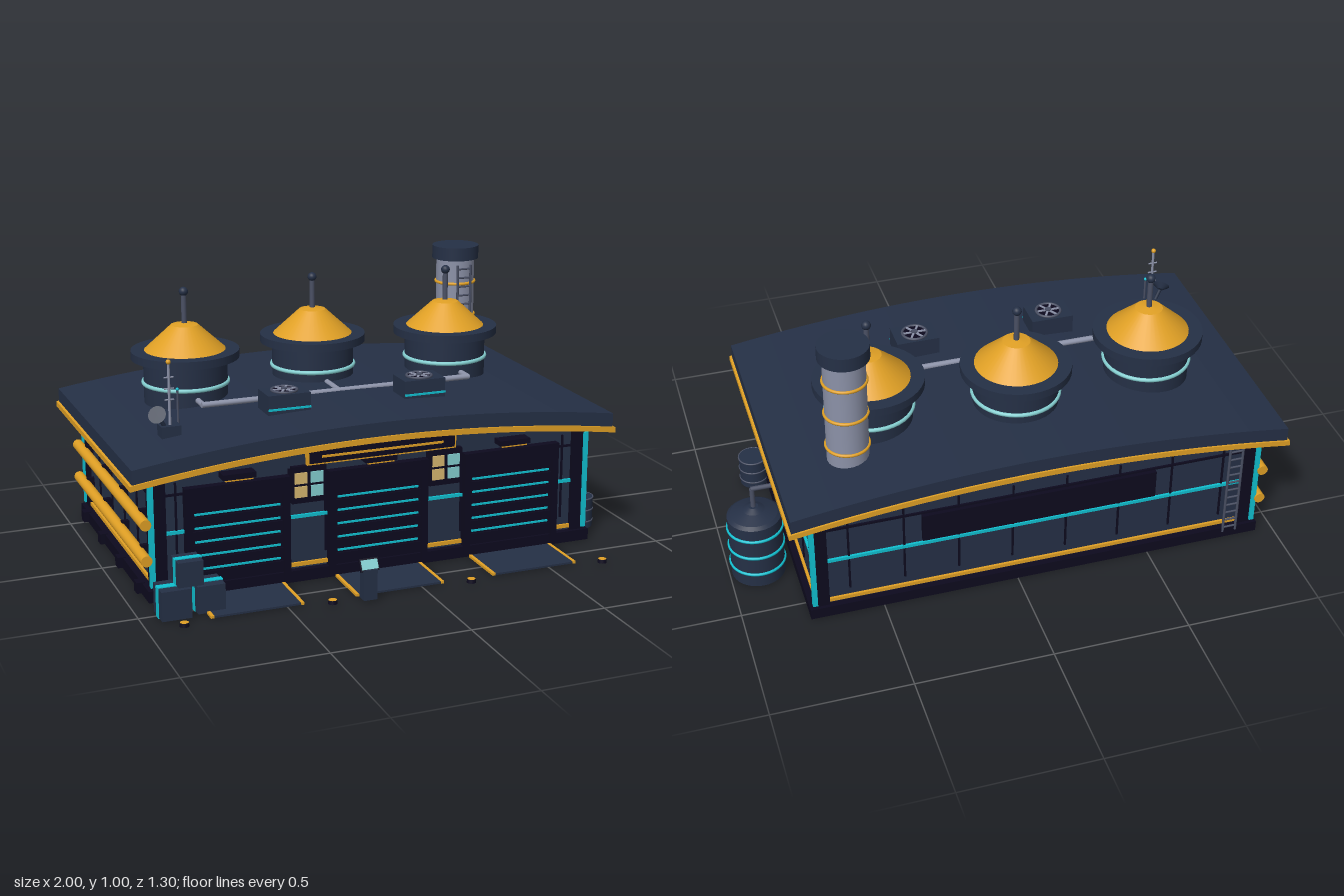
import * as THREE from 'three';

const mat = (name, color, side = THREE.FrontSide) => {
  const m = new THREE.MeshStandardMaterial({ color, side });
  m.name = name;
  return m;
};
const CX = -0.083, CZ = -0.1; // centre of the building

export function createModel() {
  const navy = mat('navy panel', 0x253046);
  const black = mat('dark metal', 0x0d0a1e);
  const orange = mat('orange trim', 0xe0a025);
  const cyan = mat('cyan light', 0x10c0d0);
  const pale = mat('pale cyan glass', 0x85d0d2);
  const tan = mat('warm glass', 0xd8b870);
  const grey = mat('grey steel', 0x8c92a8);
  const slate = mat('slate steel', 0x4a5064, THREE.DoubleSide);

  const root = new THREE.Group();
  root.name = 'workshop';
  const group = (name, x = 0, y = 0, z = 0, parent = root) => {
    const g = new THREE.Group();
    g.name = name;
    g.position.set(x, y, z);
    parent.add(g);
    return g;
  };
  const add = (parent, name, geo, m, x = 0, y = 0, z = 0) => {
    const mesh = new THREE.Mesh(geo, m);
    mesh.name = name;
    mesh.position.set(x, y, z);
    parent.add(mesh);
    return mesh;
  };
  const box = (p, name, m, w, h, d, x, y, z) => add(p, name, new THREE.BoxGeometry(w, h, d), m, x, y, z);
  const cyl = (p, name, m, r0, r1, y0, y1, x = 0, z = 0, n = 32) =>
    add(p, name, new THREE.CylinderGeometry(r1, r0, y1 - y0, n), m, x, (y0 + y1) / 2, z);
  const ring = (p, name, m, r, t, y, x = 0, z = 0) => {
    const o = add(p, name, new THREE.TorusGeometry(r, t, 8, 40), m, x, y, z);
    o.rotation.x = Math.PI / 2;
    return o;
  };
  const rod = (p, name, m, r, a, b, n = 12) => {
    const A = new THREE.Vector3(...a), B = new THREE.Vector3(...b), d = B.clone().sub(A);
    const o = add(p, name, new THREE.CylinderGeometry(r, r, d.length(), n), m);
    o.position.copy(A).add(B).multiplyScalar(0.5);
    o.quaternion.setFromUnitVectors(new THREE.Vector3(0, 1, 0), d.normalize());
    return o;
  };
  const ladder = (p, x, z, y0, y1, w, r) => {
    for (const s of [-1, 1]) rod(p, 'ladderRail', slate, r, [x + s * w / 2, y0, z], [x + s * w / 2, y1, z], 6);
    for (let y = y0 + 0.02; y < y1; y += 0.035) rod(p, 'ladderRung', slate, r * 0.8, [x - w / 2, y, z], [x + w / 2, y, z], 6);
  };

  // Slab whose top (and optionally bottom) follows the roof curve
  const arch = (x, edge) => edge + 0.07 * (1 - (x / 0.917) ** 2);
  const slab = (name, m, half, low, top, halfZ, flat) => {
    const s = new THREE.Shape(), N = 24;
    for (let i = 0; i <= N; i++) {
      const x = -half + 2 * half * i / N, y = flat ? low : arch(x, low);
      i ? s.lineTo(x, y) : s.moveTo(x, y);
    }
    for (let i = N; i >= 0; i--) {
      const x = -half + 2 * half * i / N;
      s.lineTo(x, arch(x, top));
    }
    const geo = new THREE.ExtrudeGeometry(s, { depth: halfZ * 2, bevelEnabled: false });
    add(root, name, geo.translate(0, 0, -halfZ), m, CX, 0, CZ);
  };
  slab('walls', navy, 0.82, 0.03, 0.44, 0.47, true);
  slab('roofTrim', orange, 0.917, 0.432, 0.452, 0.553);
  slab('roof', navy, 0.908, 0.452, 0.503, 0.546);

  // Base, corner pillars and light strips
  box(root, 'base', black, 1.7, 0.042, 0.99, CX, 0.025, CZ);
  for (const sx of [-1, 1]) for (const sz of [-1, 1]) {
    box(root, 'cornerPillar', black, 0.055, 0.4, 0.055, CX + sx * 0.805, 0.24, CZ + sz * 0.455);
    box(root, 'cornerLight', cyan, 0.018, 0.37, 0.018, CX + sx * 0.831, 0.24, CZ + sz * 0.481);
  }

  // Each wall: local x runs along it, local z points outwards
  const wall = (name, width, dist, turn, seams) => {
    const g = group(name, CX, 0, CZ);
    g.rotation.y = turn;
    const f = group('face', 0, 0, dist, g);
    box(f, 'lightBand', cyan, width, 0.012, 0.012, 0, 0.241, 0.003);
    box(f, 'lowerBand', orange, width, 0.014, 0.012, 0, 0.062, 0.003);
    box(f, 'topRail', black, width, 0.008, 0.01, 0, 0.377, 0.002);
    for (const x of seams) box(f, 'seam', black, 0.007, 0.32, 0.008, x, 0.26, 0.002);
    return f;
  };
  const spread = (n, step) => Array.from({ length: n }, (_, i) => (i - (n - 1) / 2) * step);
  const front = wall('frontWall', 1.56, 0.47, 0, [-0.74, -0.33, -0.195, 0.195, 0.33, 0.74]);
  const back = wall('backWall', 1.56, 0.47, Math.PI, spread(8, 0.2));
  const right = wall('sideWallLeft', 0.86, 0.82, Math.PI / 2, spread(4, 0.18));
  const left = wall('sideWallRight', 0.86, 0.82, -Math.PI / 2, spread(4, 0.18));

  // Window panels; each row lists pane materials
  const windows = (p, x, y, w, h, rows, stepX, stepY, pw, ph) => {
    const g = group('window', x, y, 0, p);
    box(g, 'windowFrame', black, w, h, 0.02, 0, 0, 0.008);
    rows.forEach((row, j) => row.forEach((m, i) =>
      box(g, 'pane', m, pw, ph, 0.006, (i - (row.length - 1) / 2) * stepX, (0.5 - j) * stepY, 0.02)));
  };
  windows(right, -0.168, 0.332, 0.295, 0.118, [[pale, black, tan, tan], [tan, pale, pale, black]], 0.07, 0.054, 0.055, 0.04);
  for (const x of [-0.262, 0.262])
    windows(front, x, 0.36, 0.125, 0.135, [[tan, pale], [tan, pale]], 0.06, 0.05, 0.046, 0.04);
  box(back, 'backShutter', black, 0.87, 0.11, 0.02, 0, 0.315, 0.008);
  ladder(back, 0.74, 0.025, 0.03, 0.43, 0.05, 0.005);

  // Garage doors with ramps and lamps
  for (const x of [-0.524, 0, 0.524]) {
    const d = group('garageDoor', x, 0, 0, front);
    for (const s of [-1, 1]) box(d, 'doorPost', black, 0.025, 0.385, 0.036, s * 0.177, 0.207, 0.012);
    box(d, 'doorLintel', black, 0.38, 0.06, 0.036, 0, 0.37, 0.012);
    box(d, 'doorPanel', black, 0.34, 0.34, 0.016, 0, 0.18, 0.008);
    for (let i = 0; i < 5; i++) {
      box(d, 'doorLight', cyan, 0.31, 0.007, 0.006, 0, 0.1 + i * 0.05, 0.018);
      box(d, 'doorSlat', black, 0.33, 0.028, 0.008, 0, 0.075 + i * 0.05, 0.018);
    }
    box(d, 'lampHousing', black, 0.12, 0.02, 0.05, 0, 0.43, 0.025);
    box(d, 'lamp', orange, 0.1, 0.007, 0.04, 0, 0.417, 0.025);
    box(d, 'ramp', navy, 0.31, 0.007, 0.2, 0, 0.006, 0.125);
    for (const s of [-1, 1]) box(d, 'rampEdge', orange, 0.012, 0.009, 0.2, s * 0.161, 0.006, 0.125);
  }

  // Blank fascia panel over the middle door
  const fascia = group('fascia', 0, 0.471, 0.05, front);
  box(fascia, 'fasciaFrame', orange, 0.565, 0.058, 0.02, 0, 0, 0);
  box(fascia, 'fasciaPanel', black, 0.55, 0.046, 0.008, 0, 0, 0.01);
  box(fascia, 'fasciaLight', orange, 0.46, 0.008, 0.006, 0, 0, 0.015);

  // Pipes along the side wall
  for (const y of [0.157, 0.287]) {
    rod(left, 'wallPipe', orange, 0.02, [-0.495, y, 0.033], [0.495, y, 0.033], 20);
    for (const x of spread(4, 0.26)) box(left, 'pipeBracket', black, 0.02, 0.05, 0.03, x, y, 0.012);
  }
  for (const x of spread(4, 0.26)) box(left, 'foot', black, 0.04, 0.04, 0.03, x, 0.03, 0.035);

  // Roof domes
  for (const [x, z] of [[-0.607, -0.21], [CX, -0.275], [0.441, -0.21]]) {
    const g = group('dome', x, 0, z);
    cyl(g, 'drum', navy, 0.155, 0.155, 0.5, 0.71, 0, 0, 40);
    ring(g, 'drumLight', pale, 0.156, 0.008, 0.609);
    cyl(g, 'rim', navy, 0.2, 0.2, 0.7, 0.73, 0, 0, 40);
    cyl(g, 'cone', orange, 0.152, 0.05, 0.728, 0.822, 0, 0, 40);
    cyl(g, 'coneTop', orange, 0.05, 0.012, 0.822, 0.828);
    cyl(g, 'mast', slate, 0.01, 0.01, 0.82, 0.94, 0, 0, 12);
    add(g, 'mastBall', new THREE.SphereGeometry(0.017, 16, 12), navy, 0, 0.945, 0);
  }

  // Roof pipework
  rod(root, 'roofPipe', grey, 0.011, [-0.612, 0.572, 0.005], [0.445, 0.572, 0.005]);
  for (const [x, z] of [[-0.607, -0.08], [CX, -0.13], [0.441, -0.08]])
    rod(root, 'roofBranch', grey, 0.011, [x, 0.572, 0.005], [x, 0.572, z]);

  // Roof fans
  for (const x of [-0.345, 0.18]) {
    const g = group('roofFan', x, 0, 0.14);
    box(g, 'fanBox', navy, 0.16, 0.1, 0.115, 0, 0.585, 0);
    box(g, 'fanLight', cyan, 0.16, 0.007, 0.006, 0, 0.583, 0.06);
    cyl(g, 'fanWell', black, 0.047, 0.047, 0.63, 0.638);
    ring(g, 'fanRing', slate, 0.046, 0.005, 0.638);
    for (let i = 0; i < 3; i++) box(g, 'fanBlade', grey, 0.084, 0.004, 0.008, 0, 0.64, 0).rotation.y = i * Math.PI / 3;
    cyl(g, 'fanHub', slate, 0.012, 0.012, 0.636, 0.646);
  }

  // Chimney
  const ch = group('chimney', 0.562, 0, -0.383);
  cyl(ch, 'stack', grey, 0.075, 0.075, 0.5, 0.96, 0, 0, 24);
  cyl(ch, 'stackCap', navy, 0.091, 0.091, 0.952, 1.003, 0, 0, 32);
  for (const y of [0.59, 0.725, 0.858]) ring(ch, 'stackRing', orange, 0.076, 0.006, y);
  ladder(ch, 0, 0.086, 0.55, 0.935, 0.055, 0.005);

  // Roof aerials and dish
  const ae = group('aerials');
  box(ae, 'aerialBase', navy, 0.07, 0.05, 0.06, -0.785, 0.545, 0.185);
  rod(ae, 'aerial', grey, 0.005, [-0.783, 0.52, 0.19], [-0.783, 0.79, 0.19], 8);
  for (const y of [0.66, 0.7, 0.74]) rod(ae, 'aerialArm', grey, 0.003, [-0.8, y, 0.19], [-0.766, y, 0.19], 6);
  add(ae, 'aerialTip', new THREE.SphereGeometry(0.009, 12, 8), orange, -0.783, 0.795, 0.19);
  rod(ae, 'shortAerial', slate, 0.004, [-0.747, 0.5, 0.167], [-0.747, 0.685, 0.167], 8);
  add(ae, 'shortAerialTip', new THREE.SphereGeometry(0.006, 12, 8), cyan, -0.747, 0.688, 0.167);
  rod(ae, 'dishArm', navy, 0.007, [-0.8, 0.56, 0.19], [-0.825, 0.605, 0.2], 8);
  const dish = add(ae, 'dish', new THREE.CylinderGeometry(0.032, 0.01, 0.018, 20), navy, -0.83, 0.612, 0.205);
  dish.rotation.set(0.9, 0, 0.5);

  // Storage tank beside the building
  const tk = group('tank', 0.893, 0, -0.275);
  const prof = [[0, 0.005], [0.098, 0.005], [0.098, 0.262], [0.085, 0.272], [0.04, 0.288], [0.018, 0.3], [0, 0.3]];
  for (let i = 0; i < prof.length - 1; i++)
    add(tk, 'tankShell', new THREE.LatheGeometry([prof[i], prof[i + 1]].map(p => new THREE.Vector2(...p)), 32), navy);
  for (const y of [0.06, 0.135, 0.212]) ring(tk, 'tankLight', cyan, 0.098, 0.006, y);
  rod(tk, 'tankPipe', slate, 0.009, [0, 0.29, 0], [0, 0.377, 0]);
  rod(tk, 'tankPipe', slate, 0.009, [0.004, 0.377, 0], [-0.16, 0.377, 0]);

  // Barrel
  const br = group('barrel', 0.81, 0, 0.239);
  cyl(br, 'barrelBody', navy, 0.053, 0.053, 0.005, 0.122, 0, 0, 24);
  for (const y of [0.03, 0.075, 0.12]) ring(br, 'barrelHoop', slate, 0.053, 0.003, y);

  // Crates with a light strip wrapped round them
  for (const [x, y, z, s] of [[-0.883, 0.057, 0.517, 0.105], [-0.755, 0.053, 0.5, 0.098], [-0.828, 0.155, 0.512, 0.088]]) {
    const g = group('crate', x, y, z);
    box(g, 'crateBox', navy, s, s, s, 0, 0, 0);
    box(g, 'crateStrip', cyan, s + 0.006, s + 0.006, s * 0.26, 0, 0, 0);
  }

  // Control post
  const post = group('controlPost', -0.217, 0, 0.63);
  box(post, 'postBody', navy, 0.05, 0.11, 0.04, 0, 0.06, 0);
  box(post, 'postHead', black, 0.068, 0.045, 0.012, 0, 0.128, 0).rotation.x = -0.5;
  box(post, 'postScreen', pale, 0.06, 0.034, 0.004, 0, 0.132, 0.008).rotation.x = -0.5;

  // Ground lights
  for (const x of [-0.873, -0.345, 0.18, 0.705])
    add(root, 'groundLight', new THREE.CylinderGeometry(0.015, 0.017, 0.014, 16), [black, orange, black], x, 0.007, 0.617);

  return root;
}
